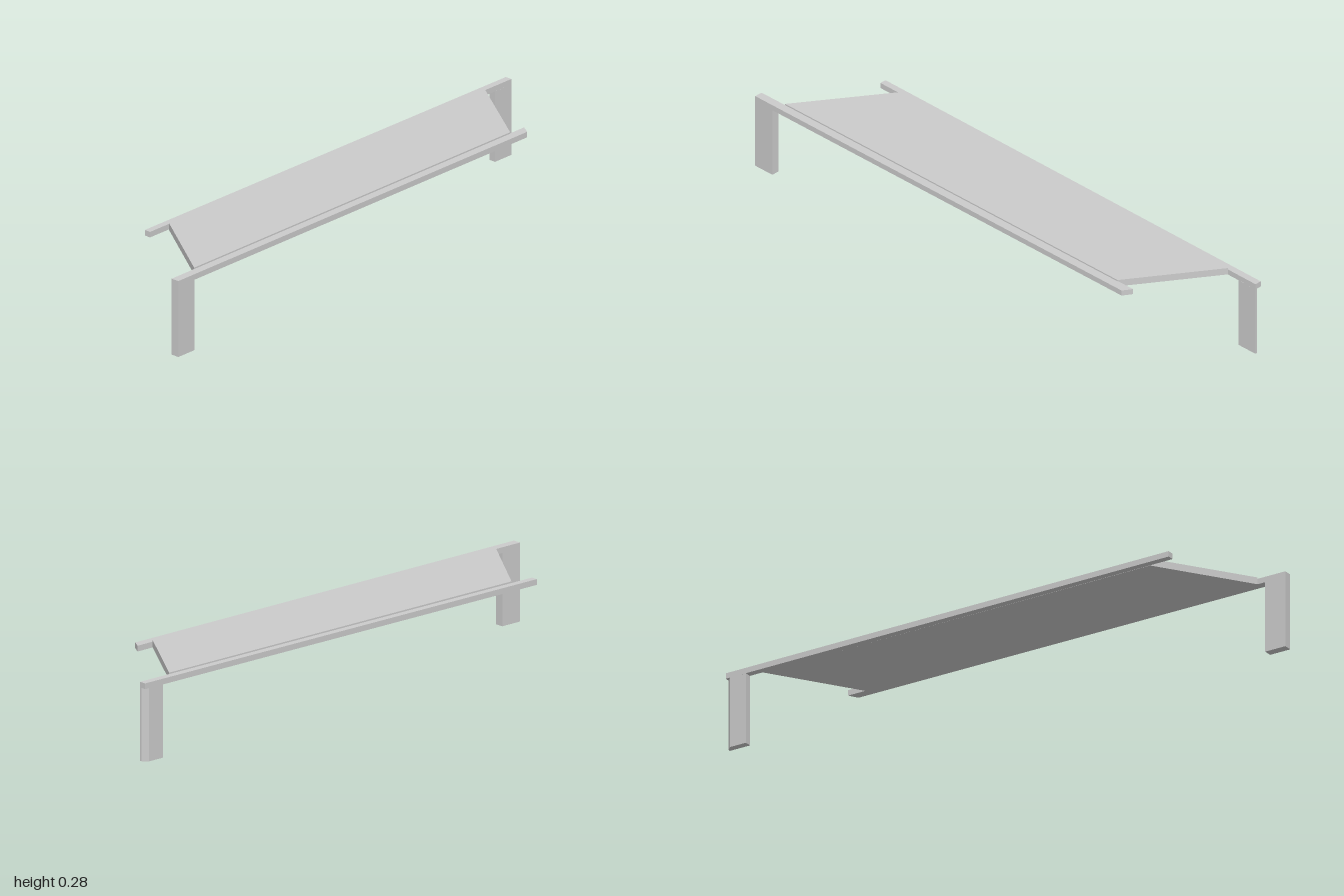
import * as THREE from 'three';

const material = new THREE.MeshStandardMaterial({ color: 0xcccccc, flatShading: true });

// Upright prism: a plan outline of [x, z] corners raised from y0 to y1
function prism(name, outline, y0, y1) {
  const shape = new THREE.Shape(outline.map(([x, z]) => new THREE.Vector2(x, -z)));
  const geometry = new THREE.ExtrudeGeometry(shape, { depth: y1 - y0, bevelEnabled: false });
  geometry.rotateX(-Math.PI / 2);
  geometry.translate(0, y0, 0);
  const mesh = new THREE.Mesh(geometry, material);
  mesh.name = name;
  return mesh;
}

export function createModel() {
  const model = new THREE.Group();
  model.name = 'skewedBench';
  const under = 0.255, railTop = 0.275, deckTop = 0.28;

  // Slanted deck panel, a little higher than the rails
  model.add(prism('deck', [[-0.89, 0.157], [0.66, 0.156], [0.87, -0.154], [-0.67, -0.161]], under, deckTop));

  // Long rails, each running past the deck at both ends
  model.add(prism('frontRail', [[-1, 0.187], [0.71, 0.187], [0.73, 0.154], [-1, 0.157]], under, railTop));
  model.add(prism('backRail', [[-0.76, -0.163], [1, -0.153], [1, -0.178], [-0.76, -0.187]], under, railTop));

  // One leg at the far end of each rail; the back one has a chamfered corner
  model.add(prism('frontLeg', [[-1, 0.187], [-0.92, 0.187], [-0.92, 0.157], [-1, 0.157]], 0, under));
  model.add(prism('backLeg', [[0.92, -0.153], [1, -0.153], [1, -0.161], [0.983, -0.178], [0.92, -0.178]], 0, under));

  return model;
}
